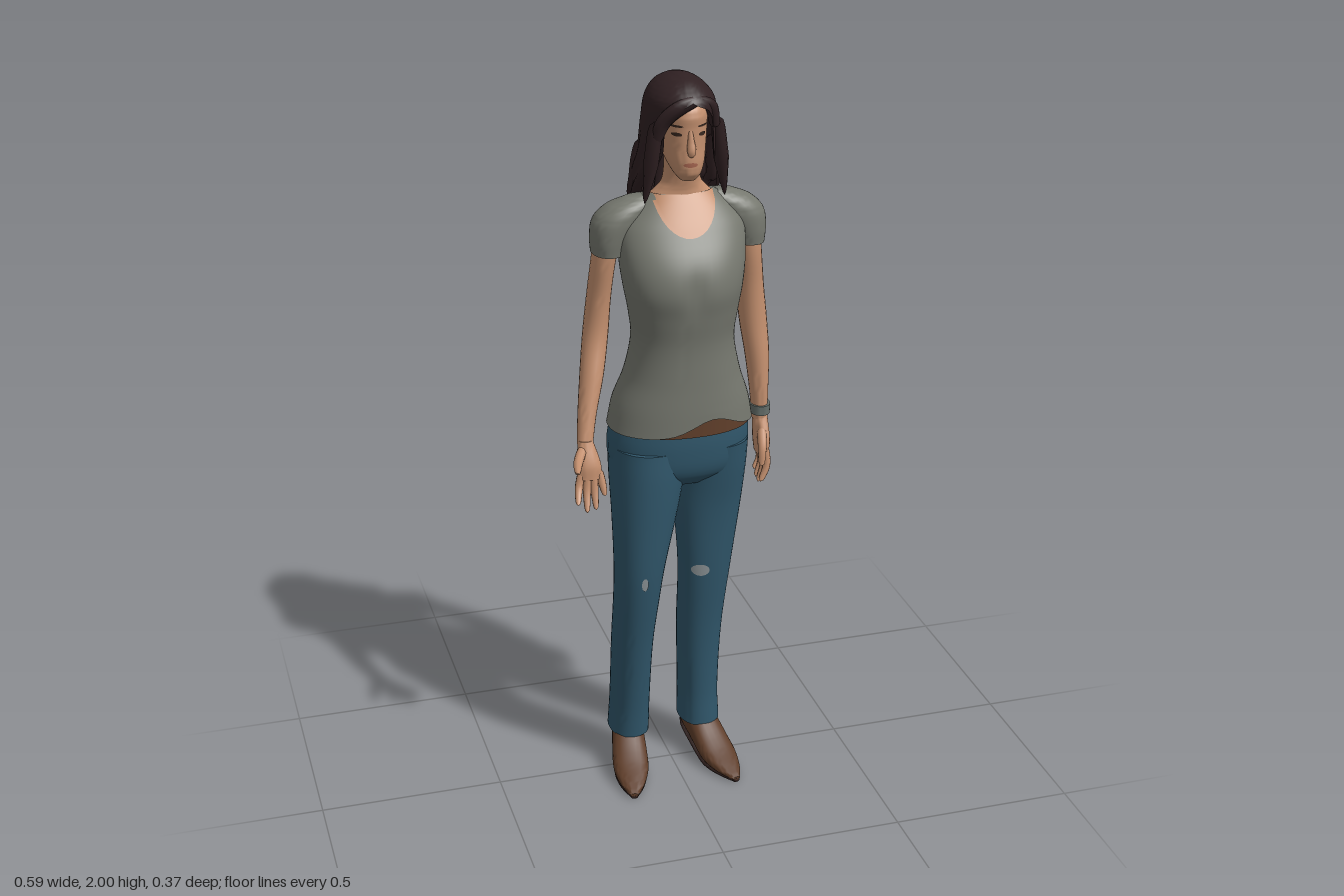
import * as THREE from 'three';
import { mergeVertices, toCreasedNormals } from 'three/addons/utils/BufferGeometryUtils.js';

const mat = (name, color, side = THREE.FrontSide) => {
  const m = new THREE.MeshStandardMaterial({ color, side });
  m.name = name;
  return m;
};
const M = {
  skin: mat('skin', 0xc4906f), tee: mat('greyCotton', 0x76786f), denim: mat('blueDenim', 0x30566a),
  hair: mat('darkHair', 0x2f2022, THREE.DoubleSide), leather: mat('brownLeather', 0x5e3d29),
  sole: mat('darkSole', 0x2b1d1b), rip: mat('fadedThread', 0x8f979a), lip: mat('lips', 0xa4644f),
  eye: mat('darkEye', 0x37271f), metal: mat('watchMetal', 0x66706c),
};

// A section is [y, x0, x1, zBack, zFront, frontGap]; sections run from low y to high y.
function sectionAt(s, y) {
  let i = 0;
  while (i < s.length - 2 && y > s[i + 1][0]) i++;
  const a = s[i], b = s[i + 1], h = b[0] - a[0], t = (y - a[0]) / h;
  const slope = (k, c) => k <= 0 || k >= s.length - 1 ? (b[c] - a[c]) / h
    : (s[k + 1][c] - s[k - 1][c]) / (s[k + 1][0] - s[k - 1][0]);
  const t2 = t * t, t3 = t2 * t;
  return a.map((v, c) => c === 0 ? y : (2 * t3 - 3 * t2 + 1) * v + (3 * t2 - 2 * t3) * b[c]
    + h * ((t3 - 2 * t2 + t) * slope(i, c) + (t3 - t2) * slope(i + 1, c)));
}

// Skin a smooth surface over the sections; p below 1 makes them squarer.
function loft(name, material, s, { p = 0.9, sides = 36, steps = 5, cap = true, shape } = {}) {
  const ys = [];
  for (let i = 0; i < s.length - 1; i++)
    for (let k = 0; k < steps; k++) ys.push(s[i][0] + (s[i + 1][0] - s[i][0]) * k / steps);
  ys.push(s[s.length - 1][0]);
  const pos = [], idx = [], v = new THREE.Vector3(), w = sides + 1;
  const pw = n => Math.sign(n) * Math.abs(n) ** p;
  for (const y of ys) {
    const [, x0, x1, z0, z1, gap = 0] = sectionAt(s, y);
    const g = Math.max(0, gap) * Math.PI / 180;
    for (let j = 0; j <= sides; j++) {
      const a = Math.PI / 2 + g + (Math.PI * 2 - 2 * g) * j / sides;
      v.set((x0 + x1) / 2 + (x1 - x0) / 2 * pw(Math.cos(a)), y, (z0 + z1) / 2 + (z1 - z0) / 2 * pw(Math.sin(a)));
      if (shape) shape(v, a);
      pos.push(v.x, v.y, v.z);
    }
  }
  for (let i = 0; i < ys.length - 1; i++)
    for (let j = 0; j < sides; j++) {
      const a = i * w + j, b = a + w;
      idx.push(a, b, a + 1, a + 1, b, b + 1);
    }
  if (cap) for (const [row, y] of [[0, ys[0]], [ys.length - 1, ys[ys.length - 1]]]) {
    const [, x0, x1, z0, z1] = sectionAt(s, y), c = pos.length / 3;
    pos.push((x0 + x1) / 2, y, (z0 + z1) / 2);
    for (let j = 0; j < sides; j++) {
      const a = row * w + j;
      idx.push(...(row ? [a, c, a + 1] : [a, a + 1, c]));
    }
  }
  const geo = new THREE.BufferGeometry();
  geo.setAttribute('position', new THREE.Float32BufferAttribute(pos, 3));
  geo.setIndex(idx);
  const mesh = new THREE.Mesh(toCreasedNormals(mergeVertices(geo, 1e-5), 1.05), material);
  mesh.name = name;
  return mesh;
}

// Tapered round limb through [x, y, z, radius] points, with rounded ends.
function limb(name, material, pts, flat = 1) {
  const curve = new THREE.CatmullRomCurve3(pts.map(q => new THREE.Vector3(q[0], q[1], q[2])));
  const n = 16, sides = 9, geo = new THREE.TubeGeometry(curve, n, 1, sides), at = geo.attributes.position;
  const v = new THREE.Vector3();
  for (let i = 0; i <= n; i++) {
    const c = curve.getPointAt(i / n), f = i / n * (pts.length - 1), k = Math.min(pts.length - 2, Math.floor(f));
    const r = (pts[k][3] + (pts[k + 1][3] - pts[k][3]) * (f - k)) * Math.sqrt(Math.max(0, 1 - Math.abs(2 * i / n - 1) ** 8));
    for (let j = 0; j <= sides; j++) {
      const m = i * (sides + 1) + j;
      v.fromBufferAttribute(at, m).sub(c).multiplyScalar(r);
      v.z *= flat;
      v.add(c);
      at.setXYZ(m, v.x, v.y, v.z);
    }
  }
  const mesh = new THREE.Mesh(geo, material);
  mesh.name = name;
  return mesh;
}

// Thin oval laid onto the front of a lofted surface.
function patch(name, material, s, cx, cy, rx, ry, { p = 0.9, top = 9, lift = 0.002 } = {}) {
  const geo = new THREE.RingGeometry(0, 1, 32, 8), at = geo.attributes.position;
  for (let i = 0; i < at.count; i++) {
    const x = cx + at.getX(i) * rx, y = Math.min(top, cy + at.getY(i) * ry);
    const [, x0, x1, z0, z1] = sectionAt(s, y);
    const t = Math.min(0.99, Math.abs((2 * x - x0 - x1) / (x1 - x0)));
    at.setXYZ(i, x, y, (z0 + z1) / 2 + (z1 - z0) / 2 * (1 - t ** (2 / p)) ** (p / 2) + lift);
  }
  geo.computeVertexNormals();
  const mesh = new THREE.Mesh(geo, material);
  mesh.name = name;
  return mesh;
}

const TORSO = [[1.05, -.17, .225, -.155, .13], [1.12, -.155, .212, -.15, .13], [1.2, -.125, .185, -.13, .128],
  [1.3, -.108, .165, -.108, .129], [1.38, -.118, .172, -.1, .142], [1.45, -.132, .182, -.102, .154],
  [1.52, -.14, .192, -.107, .138], [1.6, -.135, .195, -.108, .092], [1.65, -.1, .165, -.1, .06], [1.69, -.055, .115, -.07, .034]];
const RIGHT_LEG = [[.1, -.17, -.058, -.12, .032], [.2, -.165, -.058, -.115, .043], [.4, -.165, -.055, -.09, .075],
  [.55, -.165, -.043, -.062, .102], [.65, -.165, -.03, -.06, .115], [.8, -.167, .005, -.085, .12],
  [.92, -.168, .032, -.125, .12], [1, -.165, .04, -.135, .115]];
const LEFT_LEG = [[.1, .038, .153, -.128, .025], [.2, .04, .15, -.13, .02], [.4, .035, .158, -.122, .027],
  [.6, .03, .175, -.092, .05], [.8, .016, .2, -.1, .07], [.92, .022, .212, -.13, .092], [1, .02, .215, -.14, .105]];
const HEAD = [[1.745, .0, .04, .06, .105], [1.76, -.013, .053, .03, .119], [1.79, -.027, .067, -.02, .124],
  [1.83, -.037, .076, -.07, .122], [1.88, -.042, .081, -.09, .122], [1.92, -.04, .08, -.09, .122], [1.965, -.02, .06, -.05, .085]];

function shoe(name, x, turn) {
  const g = new THREE.Group();
  // Sections run heel to toe, with height stored as -z.
  const body = [[-.115, -.022, .022, -.11, -.06], [-.08, -.04, .04, -.135, -.052], [-.02, -.045, .045, -.13, -.03],
    [.06, -.05, .05, -.078, -.008], [.1, -.047, .047, -.055, -.006], [.15, -.032, .032, -.033, -.006], [.19, -.01, .01, -.016, -.006]];
  const sole = body.map(([l, a, b, , bottom]) => [l, a * .9, b * .9, bottom - .006, bottom + .006]);
  const upper = loft('shoeUpper', M.leather, body, { p: .85, sides: 24 });
  const under = loft('shoeSole', M.sole, sole, { p: .7, sides: 24 });
  upper.rotation.x = under.rotation.x = Math.PI / 2;
  const heel = new THREE.Mesh(new THREE.CylinderGeometry(.022, .009, .075, 12), M.sole);
  heel.name = 'shoeHeel';
  heel.position.set(0, .0375, -.098);
  g.add(upper, under, heel);
  g.name = name;
  g.position.x = x;
  g.rotation.y = turn;
  return g;
}

export function createModel() {
  const model = new THREE.Group();
  model.name = 'standingWoman';
  const add = (...m) => model.add(...m);

  // T-shirt: body with a lifted front hem, and mirrored cap sleeves
  add(loft('shirtBody', M.tee, TORSO, { cap: false, sides: 56, shape: v => {
    if (v.z > 0) {
      v.y += .045 * Math.exp(-(((v.x - .085) / .08) ** 2)) * Math.max(0, (1.12 - v.y) / .07);
      v.z -= .01 * Math.exp(-(((v.x - .027) / .025) ** 2) - ((v.y - 1.45) / .05) ** 2);
    }
  } }));
  const sleeve = [[1.53, .178, .262, -.1, .024], [1.57, .162, .265, -.1, .03], [1.62, .13, .258, -.094, .032],
    [1.655, .1, .225, -.078, .024], [1.678, .08, .175, -.05, .005]];
  add(loft('leftSleeve', M.tee, sleeve));
  add(loft('rightSleeve', M.tee, sleeve.map(([y, a, b, z0, z1]) => [y, .06 - b, .06 - a, z0, z1])));
  add(patch('neckline', M.skin, TORSO, .027, 1.69, .082, .1, { top: 1.69, lift: .003 }));

  // Jeans and belt
  add(loft('hips', M.denim, [[.89, -.09, .14, -.08, .07], [.93, -.155, .2, -.135, .108], [1, -.17, .217, -.148, .12], [1.08, -.158, .21, -.138, .118]]));
  add(loft('rightTrouserLeg', M.denim, RIGHT_LEG), loft('leftTrouserLeg', M.denim, LEFT_LEG));
  add(loft('belt', M.leather, [[1.048, -.163, .217, -.144, .125], [1.105, -.157, .209, -.141, .124]], { steps: 2 }));
  add(patch('rightKneeRip', M.rip, RIGHT_LEG, -.105, .625, .009, .02, { lift: .003 }));
  add(patch('leftKneeRip', M.rip, LEFT_LEG, .072, .612, .024, .018, { lift: .003 }));

  // Shoes
  add(shoe('rightShoe', -.125, -.18), shoe('leftShoe', .102, .2));

  // Left arm, hand and watch
  add(loft('leftArm', M.skin, [[1.02, .238, .28, -.052, .002], [1.1, .233, .283, -.066, .002], [1.2, .222, .287, -.082, -.003],
    [1.3, .207, .282, -.093, -.01], [1.4, .197, .271, -.095, -.008], [1.5, .187, .26, -.09, .005], [1.6, .172, .25, -.08, .01]], { p: 1, sides: 20 }));
  add(loft('watch', M.metal, [[1.035, .232, .287, -.061, .008], [1.062, .231, .288, -.064, .009]], { p: 1, sides: 20, steps: 2 }));
  add(loft('leftPalm', M.skin, [[.92, .247, .277, -.055, .022], [.96, .242, .282, -.058, .028], [1.03, .24, .28, -.05, .0]], { sides: 20 }));
  [.012, -.009, -.03, -.048].forEach((z, i) => {
    const d = [.01, 0, .006, .022][i];
    add(limb('leftFinger', M.skin, [[.263, .95, z, .012], [.268, .89, z + .004, .011], [.25, .835 + d, z + .008, .008]]));
  });
  add(limb('leftThumb', M.skin, [[.256, 1.0, .004, .014], [.25, .95, .032, .012], [.247, .9, .038, .009]]));

  // Right arm, with the open hand turned forward
  add(loft('rightArm', M.skin, [[1.03, -.267, -.224, .012, .056], [1.1, -.258, -.208, -.018, .038], [1.2, -.242, -.178, -.06, .012],
    [1.3, -.225, -.157, -.095, -.015], [1.4, -.212, -.148, -.1, -.015], [1.5, -.202, -.138, -.09, 0], [1.6, -.19, -.12, -.08, .01]], { p: 1, sides: 20 }));
  add(loft('rightPalm', M.skin, [[.94, -.272, -.208, .052, .08], [.98, -.274, -.21, .04, .078], [1.04, -.265, -.226, .015, .056]], { sides: 20 }));
  for (const [bx, tx, ty, tz] of [[-.264, -.283, .88, .1], [-.247, -.257, .853, .095], [-.231, -.231, .855, .088], [-.216, -.204, .89, .08]])
    add(limb('rightFinger', M.skin, [[bx, .96, .064, .011], [(bx + tx) / 2, (.96 + ty) / 2, .072, .011], [tx, ty, tz, .007]]));
  add(limb('rightThumb', M.skin, [[-.255, 1.02, .045, .014], [-.278, 1.0, .09, .013], [-.293, .992, .142, .008]]));

  // Neck, head and face
  add(loft('neck', M.skin, [[1.66, -.08, .14, -.085, .045], [1.69, -.045, .105, -.062, .038], [1.72, -.022, .08, -.05, .042], [1.79, -.018, .07, -.045, .06]], { p: 1 }));
  add(loft('head', M.skin, HEAD));
  add(limb('nose', M.skin, [[.016, 1.88, .118, .006], [.016, 1.85, .125, .008], [.016, 1.825, .13, .012], [.016, 1.815, .122, .01]]));
  for (const side of [-1, 1]) {
    const x = .016 + side * .032;
    add(patch('eye', M.eye, HEAD, x, 1.868, .011, .005));
    add(patch('eyebrow', M.eye, HEAD, x + side * .002, 1.889, .016, .003));
  }
  add(patch('mouth', M.lip, HEAD, .016, 1.791, .018, .006));

  // Hair: one wavy shell open at the face, with loose locks around it
  add(loft('hair', M.hair, [[1.55, -.04, .075, -.175, -.125, 20], [1.61, -.072, .135, -.166, -.085, 40], [1.68, -.088, .152, -.15, -.01, 58],
    [1.74, -.086, .145, -.135, .05, 52], [1.8, -.08, .133, -.12, .09, 40], [1.88, -.075, .117, -.115, .12, 40],
    [1.925, -.071, .108, -.111, .135, 30], [1.95, -.064, .1, -.1, .13, 0], [1.975, -.045, .08, -.08, .102, 0],
    [1.992, -.018, .055, -.045, .07, 0], [2, .005, .03, -.01, .035, 0]], { p: 1, sides: 60, shape: (v, a) => {
    const low = Math.min(1, Math.max(0, (1.9 - v.y) / .2)), wave = Math.sin(a * 13 + v.y * 20);
    v.x += Math.cos(a) * wave * .005 * low;
    v.z += Math.sin(a) * wave * .005 * low;
    if (v.y < 1.62) v.y -= .02 * Math.abs(Math.sin(a * 7)) * low;
  } }));
  add(limb('fringe', M.hair, [[.045, 1.953, .112, .014], [-.01, 1.938, .118, .02], [-.048, 1.9, .1, .02], [-.062, 1.84, .08, .013]], .7));
  add(limb('fringe', M.hair, [[.03, 1.955, .114, .012], [.072, 1.935, .1, .017], [.095, 1.87, .075, .014]], .7));
  add(limb('rightFrontLock', M.hair, [[-.06, 1.9, .08, .02], [-.068, 1.8, .065, .02], [-.078, 1.67, .03, .005]]));
  add(limb('leftFrontLock', M.hair, [[.1, 1.9, .07, .018], [.115, 1.8, .055, .02], [.142, 1.67, .01, .005]]));
  for (let i = 0; i < 9; i++) {
    const u = i / 4 - 1, x = .03 + u * .095, z = -.125 + u * u * .06, end = 1.53 + Math.abs(u) * .11 + (i % 2) * .03;
    add(limb('backLock', M.hair, [[x, 1.82, z + .02, .018], [x + u * .01, 1.7, z - .012, .02],
      [x + u * .008, end + .05, z - .03, .016], [x * .9, end, z - .052, .003]]));
  }
  return model;
}
